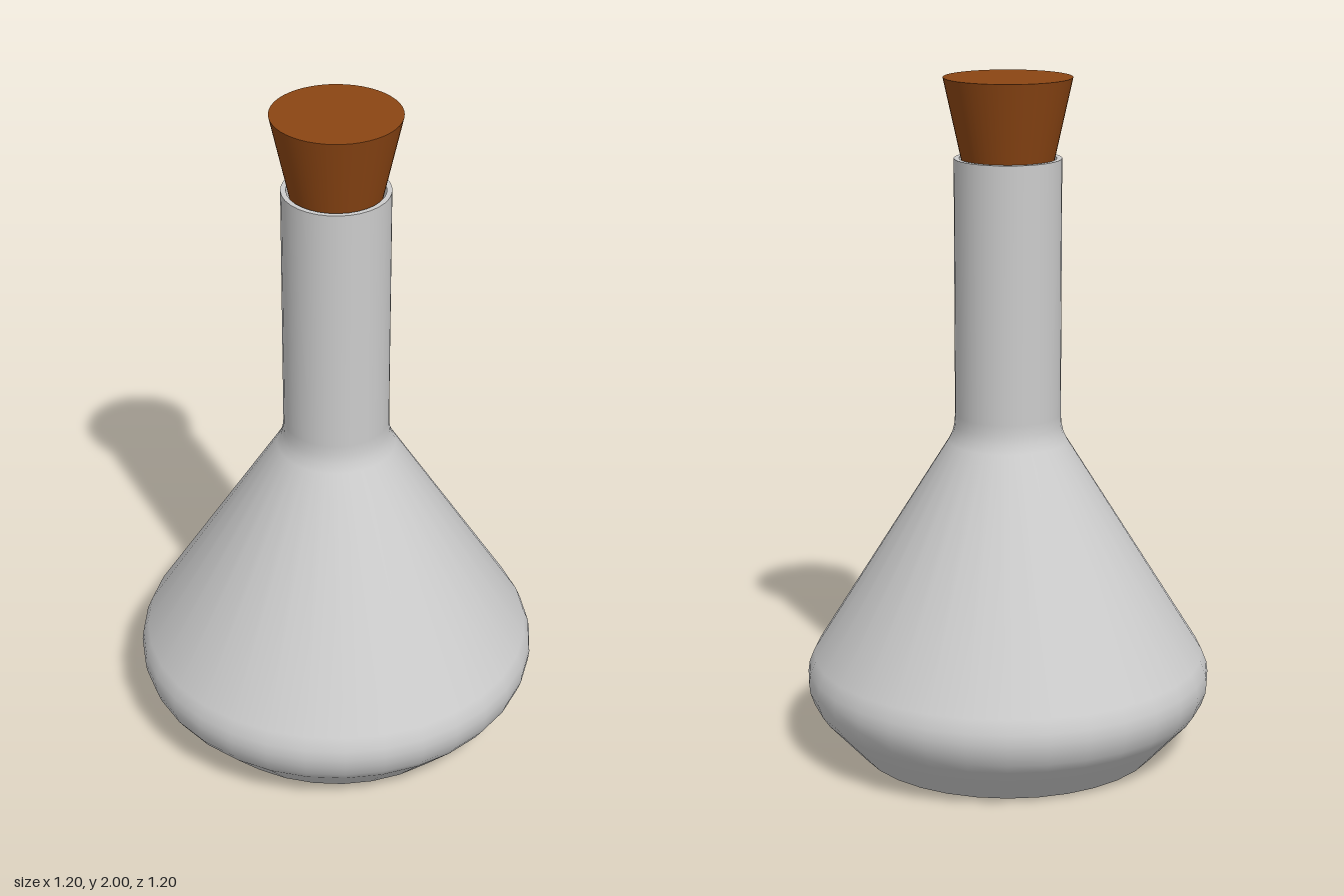
import * as THREE from 'three';

const glass = new THREE.MeshStandardMaterial({ color: 0xcccccc, side: THREE.DoubleSide });
const cork = new THREE.MeshStandardMaterial({ color: 0x8b4513 });

// Revolves a list of [radius, height] points
function lathe(name, points) {
  const profile = points.map(([r, y]) => new THREE.Vector2(r, y));
  const mesh = new THREE.Mesh(new THREE.LatheGeometry(profile, 32), glass);
  mesh.name = name;
  return mesh;
}

export function createModel() {
  const model = new THREE.Group();
  model.name = 'corkedFlask';

  const neckR = 0.155, boreR = 0.14, rimY = 1.77;

  // Outer wall: flared foot, rounded belly, conical shoulder, straight neck
  model.add(lathe('flaskBody', [
    [0.45, 0], [0.565, 0.125], [0.585, 0.155], [0.597, 0.19], [0.6, 0.22],
    [0.596, 0.25], [0.58, 0.29], [0.175, 0.94], [0.163, 0.965],
    [0.157, 0.99], [neckR, 1.02], [neckR, rimY],
  ]));

  // Flat underside, kept separate for a sharp edge
  model.add(lathe('flaskBase', [[0, 0], [0.45, 0]]));

  // Rim and the bore of the neck
  model.add(lathe('neckRim', [[neckR, rimY], [boreR, rimY]]));
  model.add(lathe('neckBore', [[boreR, rimY], [boreR, 1.05]]));

  // Tapered stopper, its lower end inside the neck
  const bottomY = 1.65, topY = 2;
  const stopper = new THREE.Mesh(
    new THREE.CylinderGeometry(0.185, 0.108, topY - bottomY, 48), cork);
  stopper.position.y = (topY + bottomY) / 2;
  stopper.name = 'corkStopper';
  model.add(stopper);

  return model;
}
